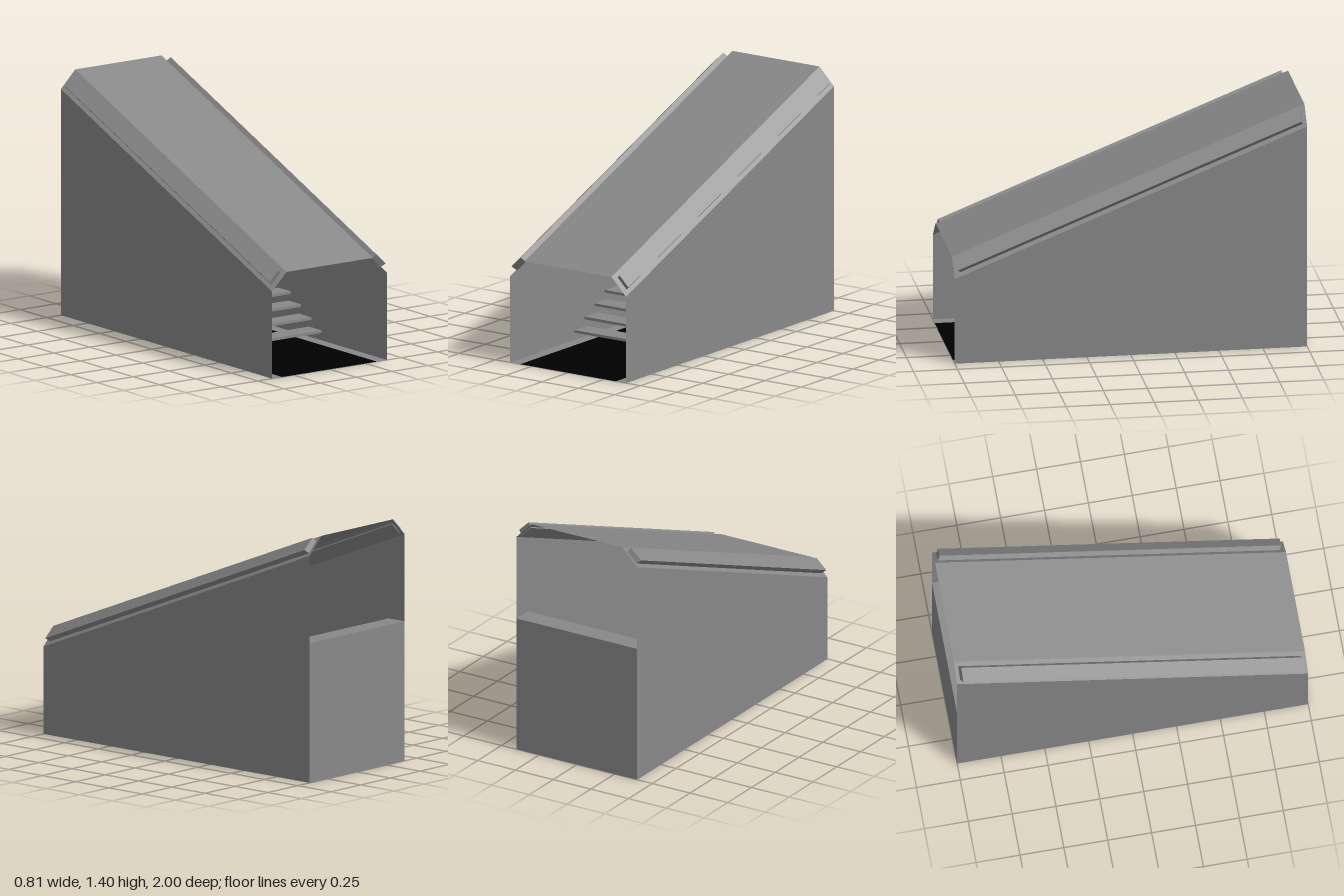
import * as THREE from 'three';

const SLOPE = 0.4; // roof rise per unit towards the back
const LEAN = 0.3; // tilt of the rail ends, square to the sloping chamfer

// Leans the rail ends, then tilts the rail so that it follows the roof
function followRoof(geometry) {
  const p = geometry.attributes.position;
  for (let i = 0; i < p.count; i++) {
    const z = p.getZ(i) + LEAN * (Math.abs(p.getX(i)) + p.getY(i) - 1.348);
    p.setZ(i, z);
    p.setY(i, p.getY(i) - SLOPE * z);
  }
  geometry.computeVertexNormals();
  return geometry;
}

export function createModel() {
  const model = new THREE.Group();
  const grey = new THREE.MeshStandardMaterial({ color: 0x888888, flatShading: true });
  const sheet = new THREE.MeshStandardMaterial({ color: 0x888888, flatShading: true, side: THREE.DoubleSide });
  const black = new THREE.MeshStandardMaterial({ color: 0x000000, side: THREE.DoubleSide });

  function add(name, geometry, material) {
    const mesh = new THREE.Mesh(geometry, material);
    mesh.name = name;
    model.add(mesh);
    return mesh;
  }

  // Four-cornered sheet, corners counter-clockwise from outside
  function panel(name, a, b, c, d, material = sheet) {
    const g = new THREE.BufferGeometry();
    g.setAttribute('position', new THREE.Float32BufferAttribute([a, b, c, a, c, d].flat(), 3));
    g.computeVertexNormals();
    return add(name, g, material);
  }

  // Thin shell: side walls, chamfers and roof, open at both ends
  panel('rightWall', [-0.4, 0, -1], [-0.4, 0, 1], [-0.4, 0.5, 1], [-0.4, 1.3, -1]);
  panel('leftWall', [0.4, 0, 1], [0.4, 0, -1], [0.4, 1.3, -1], [0.4, 0.5, 1]);
  panel('rightChamfer', [-0.4, 1.3, -1], [-0.4, 0.5, 1], [-0.3, 0.6, 1], [-0.3, 1.4, -1]);
  panel('leftChamfer', [0.4, 0.5, 1], [0.4, 1.3, -1], [0.3, 1.4, -1], [0.3, 0.6, 1]);
  panel('roof', [-0.3, 0.6, 1], [0.3, 0.6, 1], [0.3, 1.4, -1], [-0.3, 1.4, -1]);

  // Lower back wall beneath the rear opening
  panel('backWall', [0.4, 0, -1], [-0.4, 0, -1], [-0.4, 0.8, -1], [0.4, 0.8, -1]);

  // Floor border on three sides around a dark well
  const floor = (name, x0, x1, z0, z1, material) =>
    panel(name, [x0, 0, z1], [x1, 0, z1], [x1, 0, z0], [x0, 0, z0], material);
  floor('rightFloorStrip', -0.4, -0.33, -1, 1);
  floor('leftFloorStrip', 0.33, 0.4, -1, 1);
  floor('backFloorStrip', -0.33, 0.33, -1, -0.93);
  floor('floorWell', -0.33, 0.33, -0.93, 1, black);

  // Rails set through the chamfers
  const section = [[0.404, 0.944], [0.34, 1.004], [0.316, 0.974], [0.376, 0.914]];
  for (const side of [-1, 1]) {
    const shape = new THREE.Shape(section.map(([x, y]) => new THREE.Vector2(side * x, y)));
    const g = new THREE.ExtrudeGeometry(shape, { depth: 1.947, bevelEnabled: false });
    g.translate(0, 0, -0.965);
    add(side < 0 ? 'rightRail' : 'leftRail', followRoof(g), grey);
  }

  // Floating stair treads climbing to the rear opening
  const steps = 14;
  const rise = 0.8 / steps;
  const thickness = 0.015;
  const treadGeometry = new THREE.BoxGeometry(0.8, thickness, 0.12);
  for (let i = 0; i < steps; i++) {
    const tread = add('tread' + (i + 1), treadGeometry, grey);
    const z = THREE.MathUtils.lerp(0.32, -0.939, i / (steps - 1));
    tread.position.set(0, rise * (i + 1) - thickness / 2, z);
  }

  return model;
}
